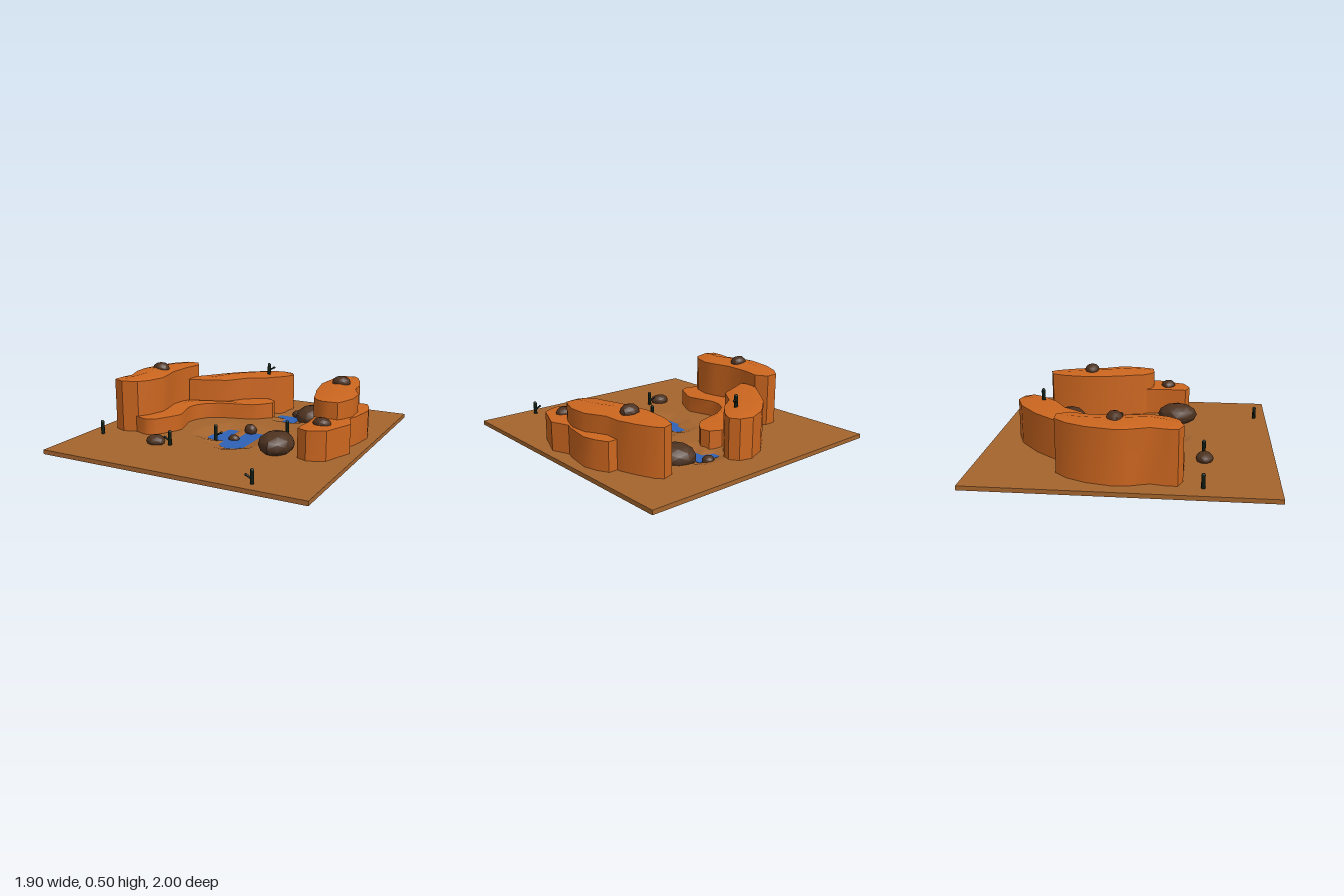
import * as THREE from 'three';
import { mergeVertices, toCreasedNormals } from 'three/addons/utils/BufferGeometryUtils.js';

const paint = (color) => new THREE.MeshStandardMaterial({ color });
const GROUND = paint(0xa5652e), CLIFF = paint(0xcc661f), ROCK = paint(0x4d3220);
const WATER = paint(0x2f62b5), CACTUS = paint(0x0c1a10);

// Pool outlines as [x, z]
const POOLS = [
  [[-.11, -.07], [-.045, -.07], [-.03, .06], [-.01, .18], [-.09, .2], [-.17, .17], [-.17, .07], [-.13, .04]],
  [[.03, -.07], [.17, -.07], [.17, .27], [.08, .335], [-.01, .28], [-.01, .13], [.04, .06]],
  [[.06, -.61], [.24, -.61], [.24, -.45], [.14, -.45], [.14, -.53], [.06, -.55]],
];

// Signed distance from a point to a polygon, negative inside
function polygonDistance(x, z, poly) {
  let best = Infinity, inside = false;
  poly.forEach(([ax, az], i) => {
    const [bx, bz] = poly[(i + 1) % poly.length];
    const ex = bx - ax, ez = bz - az;
    const t = THREE.MathUtils.clamp(((x - ax) * ex + (z - az) * ez) / (ex * ex + ez * ez), 0, 1);
    best = Math.min(best, Math.hypot(x - ax - t * ex, z - az - t * ez));
    if ((az > z) !== (bz > z) && x < ax + (z - az) * ex / ez) inside = !inside;
  });
  return inside ? -best : best;
}

// Slab whose top sinks below water level at the pools
function groundGeometry() {
  const geo = new THREE.BoxGeometry(1.9, .03, 2, 95, 1, 100).translate(0, .045, 0);
  const p = geo.attributes.position;
  for (let i = 0; i < p.count; i++) {
    if (p.getY(i) < .05) continue;
    const d = Math.min(...POOLS.map((poly) => polygonDistance(p.getX(i), p.getZ(i), poly)));
    if (d < .1) p.setY(i, Math.max(.022, .03 + .03 * d / .1 - (d < 0 ? .01 : 0)));
  }
  geo.computeVertexNormals();
  return geo;
}

// Mesa lofted through stations [x1, z1, x2, z2] with a gently ridged top
function cliffGeometry(stations, height, rise) {
  const pos = [], index = [], base = .035, n = stations.length;
  stations.forEach(([ax, az, bx, bz], i) => {
    const ridge = height + rise * Math.sin(Math.PI * i / (n - 1));
    pos.push(ax, base, az, ax, height, az, (ax + bx) / 2, ridge, (az + bz) / 2,
      bx, height, bz, bx, base, bz);
  });
  for (let i = 0; i < n - 1; i++) {
    for (let j = 0; j < 5; j++) {
      const a = i * 5 + j, b = i * 5 + (j + 1) % 5;
      index.push(a, a + 5, b + 5, a, b + 5, b);
    }
  }
  const e = (n - 1) * 5;
  for (let k = 1; k < 4; k++) index.push(0, k, k + 1, e, e + k + 1, e + k);
  const geo = new THREE.BufferGeometry();
  geo.setAttribute('position', new THREE.Float32BufferAttribute(pos, 3));
  geo.setIndex(index);
  return toCreasedNormals(geo, .6);
}

// Lumpy boulder
function rockGeometry(seed) {
  let geo = new THREE.IcosahedronGeometry(1, 1);
  geo.deleteAttribute('normal');
  geo.deleteAttribute('uv');
  geo = mergeVertices(geo);
  const p = geo.attributes.position, v = new THREE.Vector3();
  for (let i = 0; i < p.count; i++) {
    v.fromBufferAttribute(p, i);
    const k = 1 + .06 * Math.sin(3 * v.x + seed) * Math.cos(4 * v.z - seed * 2);
    p.setXYZ(i, v.x * k, v.y, v.z * k);
  }
  return toCreasedNormals(geo, .55);
}

// Upright trunk with an optional side arm pointing along armAngle
function makeCactus(height, armAngle) {
  const cactus = new THREE.Group();
  const r = .013;
  const trunk = new THREE.Mesh(new THREE.CapsuleGeometry(r, height - r, 4, 8), CACTUS);
  trunk.position.y = (height - r) / 2;
  trunk.name = 'cactusTrunk';
  cactus.add(trunk);
  if (armAngle !== null) {
    const curve = new THREE.LineCurve3(new THREE.Vector3(0, .035, 0), new THREE.Vector3(.04, .055, 0));
    const arm = new THREE.Mesh(new THREE.TubeGeometry(curve, 1, .007, 6), CACTUS);
    const tip = new THREE.Mesh(new THREE.SphereGeometry(.009, 8, 6), CACTUS);
    tip.position.set(.04, .055, 0);
    arm.name = 'cactusArm';
    tip.name = 'cactusArmTip';
    const side = new THREE.Group();
    side.name = 'cactusSideArm';
    side.add(arm, tip);
    side.rotation.y = armAngle;
    cactus.add(side);
  }
  return cactus;
}

export function createModel() {
  const model = new THREE.Group();
  model.name = 'desertCanyon';
  const add = (name, geo, mat) => {
    const mesh = new THREE.Mesh(geo, mat);
    mesh.name = name;
    model.add(mesh);
    return mesh;
  };

  add('ground', groundGeometry(), GROUND);
  add('water', new THREE.BoxGeometry(.44, .012, 1.38), WATER).position.set(.02, .024, .08);

  // Cliffs
  add('rightTallCliff', cliffGeometry([
    [-.685, -.425, -.595, -.43], [-.76, -.34, -.545, -.35], [-.82, -.21, -.575, -.23],
    [-.855, -.04, -.585, -.04], [-.845, .06, -.56, .06], [-.8, .19, -.54, .17],
    [-.82, .295, -.58, .295], [-.82, .365, -.63, .36], [-.74, .395, -.695, .38],
  ], .43, .03), CLIFF);
  add('rightLowLedge', cliffGeometry([
    [-.03, -.54, .05, -.5], [-.1, -.5, .065, -.43], [-.19, -.43, .02, -.365],
    [-.27, -.31, -.05, -.305], [-.4, -.26, -.27, -.245], [-.55, -.22, -.38, -.18],
    [-.62, -.1, -.43, -.1], [-.62, 0, -.44, -.02], [-.6, .15, -.385, .17],
    [-.63, .25, -.395, .215], [-.66, .36, -.475, .365], [-.56, .395, -.53, .395],
  ], .175, .01), CLIFF);
  add('backCliff', cliffGeometry([
    [-.02, -.825, .07, -.8], [-.08, -.8, .11, -.74], [-.16, -.77, .07, -.66],
    [-.33, -.63, -.04, -.54], [-.42, -.52, -.17, -.46], [-.55, -.35, -.27, -.32],
    [-.56, -.25, -.55, -.21],
  ], .34, .025), CLIFF);
  add('leftTallCliff', cliffGeometry([
    [.545, -.69, .625, -.715], [.505, -.58, .665, -.67], [.485, -.38, .715, -.56],
    [.51, -.25, .755, -.44], [.53, -.15, .76, -.32], [.565, -.05, .83, -.18],
    [.585, .03, .835, -.05], [.63, .085, .8, .06], [.68, .11, .78, .1],
  ], .385, .025), CLIFF);
  add('leftLowCliff', cliffGeometry([
    [.7, -.42, .82, -.42], [.64, -.3, .86, -.34], [.6, -.2, .885, -.245],
    [.58, -.07, .855, -.06], [.61, .08, .835, 0], [.62, .2, .885, .13],
    [.61, .3, .84, .24], [.61, .365, .8, .345], [.68, .395, .72, .385],
  ], .26, .012), CLIFF);

  // Boulders: x, z, x radius, z radius, bottom, top
  [
    [.36, -.52, .125, .13, 0, .17], [.44, .31, .12, .145, .035, .2],
    [.19, -.64, .042, .042, .01, .08], [.06, -.065, .047, .038, .01, .1],
    [.02, .12, .042, .036, 0, .065], [-.37, .525, .07, .06, .035, .12],
    [-.69, -.04, .064, .055, .4, .495], [.63, -.385, .067, .057, .36, .455],
    [.72, .225, .062, .055, .23, .31],
  ].forEach(([x, z, rx, rz, bottom, top], i) => {
    const rock = add(`boulder${i + 1}`, rockGeometry(i * 1.7), ROCK);
    rock.scale.set(rx, (top - bottom) / 2, rz);
    rock.position.set(x, (top + bottom) / 2, z);
  });

  // Cacti: x, z, base, height, arm direction
  [
    [-.83, .52, .055, .105, null], [-.26, .52, .055, .11, Math.PI],
    [-.06, .24, .045, .115, .45], [-.06, -.63, .35, .09, .45],
    [.33, -.115, .055, .095, null], [.56, .91, .055, .1, Math.PI],
  ].forEach(([x, z, base, height, arm], i) => {
    const cactus = makeCactus(height, arm);
    cactus.name = `cactus${i + 1}`;
    cactus.position.set(x, base, z);
    model.add(cactus);
  });
  return model;
}
